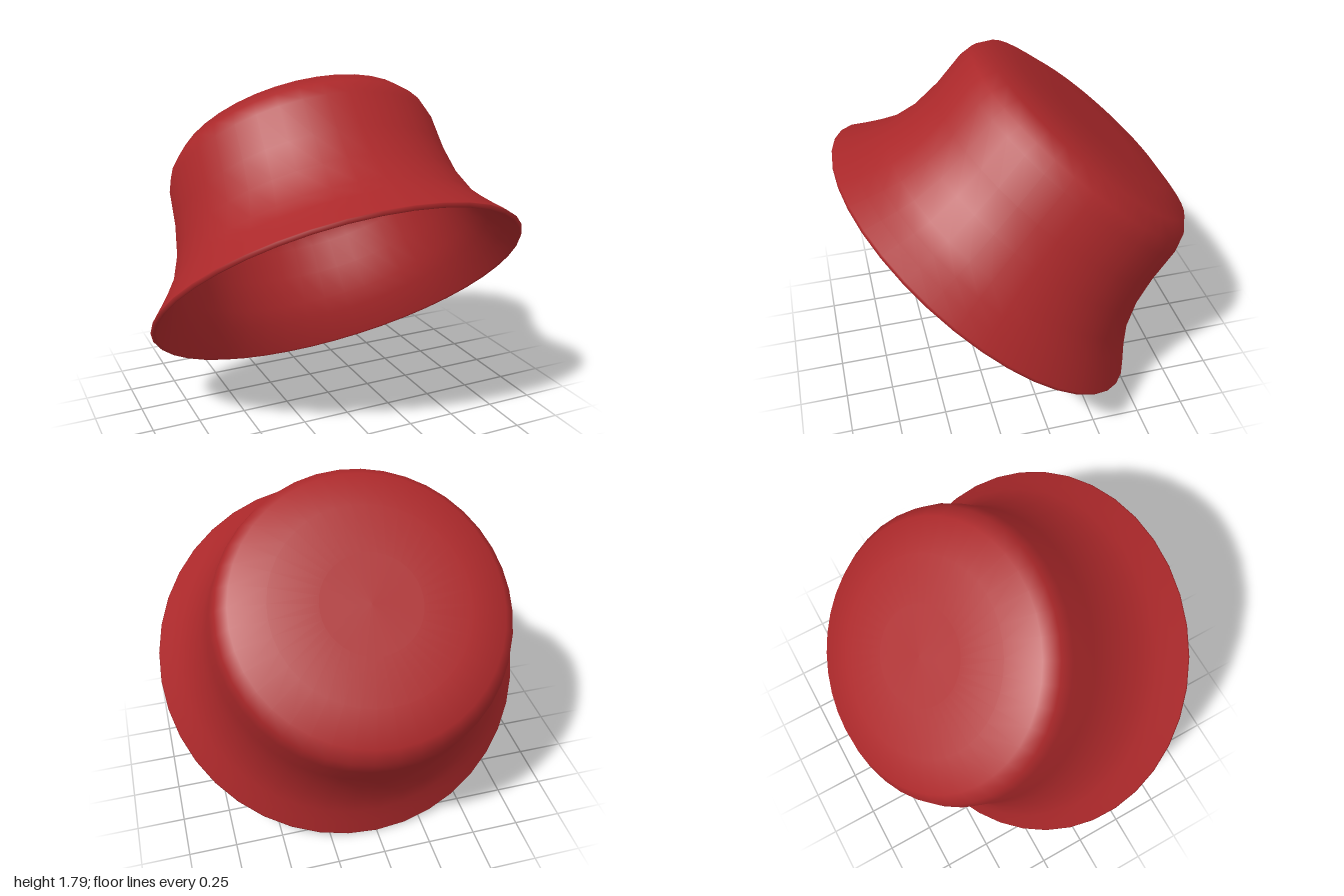
import * as THREE from 'three';

// Half profile of the felt as [radius, height]: lining from the crown down,
// rounded rim, then the outside from the rim back up
const LINING = [
  [0, 0.78], [0.25, 0.78], [0.47, 0.775], [0.62, 0.74], [0.69, 0.66], [0.724, 0.55],
  [0.755, 0.385], [0.81, 0.23], [0.86, 0.145], [0.915, 0.07],
];
const RIM = [[0.974, 0.004], [0.982, -0.002], [0.99, -0.001], [1.0, 0.012], [0.996, 0.018]];
const OUTSIDE = [
  [0.94, 0.088], [0.89, 0.155], [0.837, 0.236], [0.783, 0.388], [0.757, 0.555],
  [0.747, 0.744], [0.725, 0.82], [0.668, 0.89], [0.49, 0.935], [0.25, 0.938], [0, 0.938],
];

export function createModel() {
  const group = new THREE.Group();
  group.name = 'bucketHat';

  const profile = [...LINING, ...RIM, ...OUTSIDE].map(([r, h]) => new THREE.Vector2(r, h));
  const geometry = new THREE.LatheGeometry(profile, 40);

  // The crown leans slightly forward of the brim
  const pos = geometry.attributes.position;
  for (let i = 0; i < pos.count; i++) {
    pos.setZ(i, pos.getZ(i) + 0.05 * pos.getY(i) ** 2);
  }

  const felt = new THREE.MeshStandardMaterial({ color: 0xab282a });
  const hat = new THREE.Mesh(geometry, felt);
  hat.name = 'crownAndBrim';

  // Tipped back, resting on the rear of the brim
  hat.rotation.x = -THREE.MathUtils.degToRad(41.5);
  hat.position.set(0, 0.656, 0.157);
  group.add(hat);
  return group;
}
